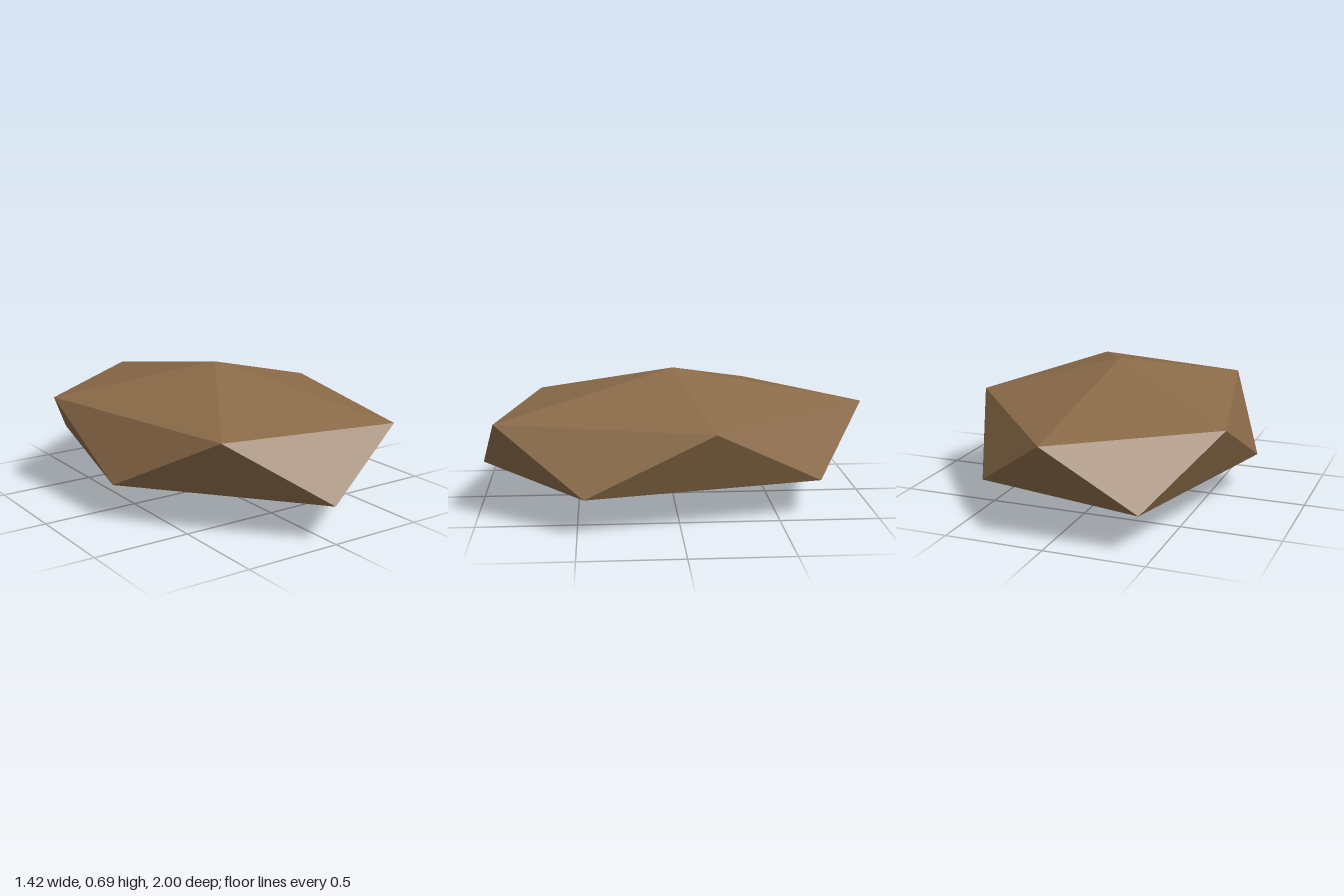
import * as THREE from 'three';
import { ConvexGeometry } from 'three/addons/geometries/ConvexGeometry.js';

export function createModel() {
  const group = new THREE.Group();
  group.name = 'boulder';

  const brownStone = new THREE.MeshStandardMaterial({ color: 0x8a6a48, flatShading: true });
  brownStone.name = 'brownStone';

  // Skewed, flattened twenty-sided rock: an upper ring of five corners,
  // its point reflection below, and a peak at each end.
  const height = 0.685;
  const ringY = 0.495;
  const ring = [[0.01, -1], [0.71, -0.16], [0.43, 0.9], [-0.45, 0.71], [-0.705, -0.465]];

  const corners = [new THREE.Vector3(0, height, 0), new THREE.Vector3(0, 0, 0)];
  for (const [x, z] of ring) {
    corners.push(new THREE.Vector3(x, ringY, z));
    corners.push(new THREE.Vector3(-x, height - ringY, -z));
  }

  const rock = new THREE.Mesh(new ConvexGeometry(corners), brownStone);
  rock.name = 'rock';
  group.add(rock);
  return group;
}
